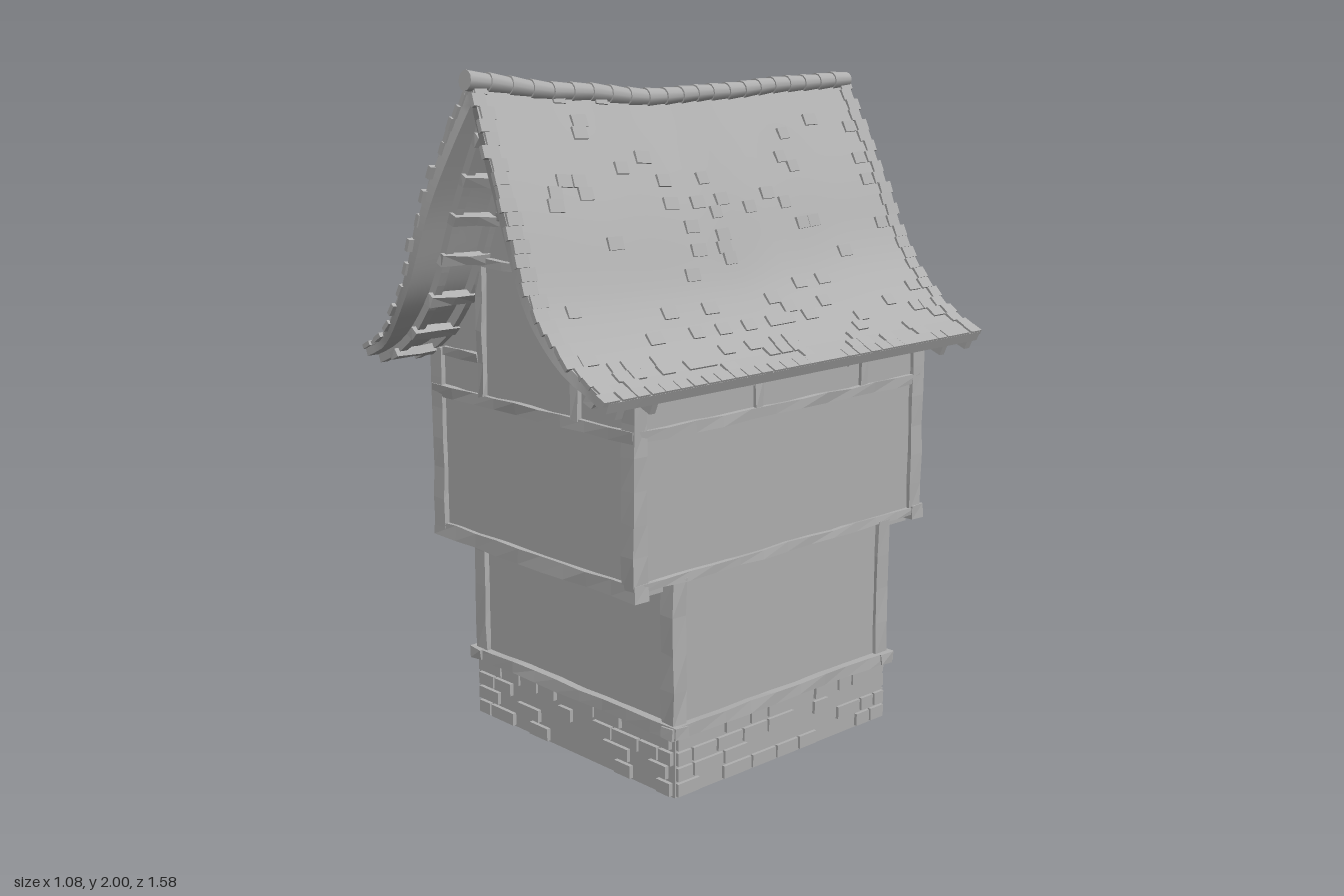
import * as THREE from 'three';
import { mergeGeometries, toCreasedNormals } from 'three/addons/utils/BufferGeometryUtils.js';

const V3 = (x, y, z) => new THREE.Vector3(x, y, z);
const clamp = THREE.MathUtils.clamp;

// half profile of the bell-shaped roof, ridge to eave
const profile = new THREE.SplineCurve([[0, 1.96], [.09, 1.8], [.18, 1.63], [.27, 1.43], [.33, 1.34], [.4, 1.265], [.47, 1.22], [.54, 1.19]]
  .map(p => new THREE.Vector2(...p)));
// sag and sideways drift of the ridge along z, as (z, drift, sag)
const bend = [[-.8, -.03, -.03], [-.5, -.03, -.037], [-.2, -.015, -.05], [.1, .01, -.055], [.4, .01, -.03], [.8, 0, .012]];

function bendAt(z) {
  let i = 0;
  while (i < bend.length - 2 && z > bend[i + 1][0]) i++;
  const [a, b] = [bend[i], bend[i + 1]];
  const t = THREE.MathUtils.smoothstep(z, a[0], b[0]);
  return [a[1] + (b[1] - a[1]) * t, a[2] + (b[2] - a[2]) * t];
}

function warp(p) {
  const [drift, sag] = bendAt(p.z);
  const w = THREE.MathUtils.smoothstep(p.y, 1.2, 1.55);
  p.y += sag * clamp((p.y - 1.18) / .78, 0, 1);
  p.x += drift * w;
  return p;
}

// point a distance d under the roof profile
function under(s, d) {
  const p = profile.getPointAt(s), t = profile.getTangentAt(s);
  p.x += t.y * d;
  p.y -= t.x * d;
  return p.x < 0 ? new THREE.Vector2(0, 1.96 - 2.05 * d) : p;
}

// v runs from the back edge to the front edge
function roofPoint(side, s, v, d = 0) {
  const p = under(s, d);
  const front = .73 + .04 * Math.sin(Math.PI * Math.min(1, p.x / .45));
  return warp(V3(p.x * side, p.y, -.77 + (front + .77) * v));
}

function warpGeometry(g, rough = 0) {
  const a = g.attributes.position, p = V3();
  const noise = n => { const q = Math.sin(n) * 43758.5; return (q - Math.floor(q) - .5) * rough; };
  for (let i = 0; i < a.count; i++) {
    p.fromBufferAttribute(a, i);
    const k = Math.round(p.x * 500) * 12.9 + Math.round(p.y * 500) * 78.2 + Math.round(p.z * 500) * 37.7;
    warp(p);
    a.setXYZ(i, p.x + noise(k), p.y + noise(k + 1), p.z + noise(k + 2));
  }
  const out = g.index ? g.toNonIndexed() : g;
  out.computeVertexNormals();
  return out;
}

export function createModel() {
  const model = new THREE.Group();
  model.name = 'timberHouse';
  const grey = new THREE.MeshStandardMaterial({ color: 0xb0b0b0 });
  grey.name = 'plainGrey';
  let seed = 7;
  const rand = () => (seed = (seed * 16807) % 2147483647) / 2147483647;

  const add = (name, g) => {
    const m = new THREE.Mesh(g, grey);
    m.name = name;
    model.add(m);
    return m;
  };
  const box = (name, w, h, d, x, y, z) =>
    add(name, warpGeometry(new THREE.BoxGeometry(w, h, d).translate(x, y, z)));
  // hand-hewn beam, slightly uneven along its length
  const beam = (name, w, h, d, x, y, z, turn = 0) => {
    const n = l => Math.max(1, Math.round(l / .1));
    const g = new THREE.BoxGeometry(w, h, d, n(w), n(h), n(d)).rotateZ(turn).translate(x, y, z);
    return add(name, warpGeometry(g, .006));
  };
  // four walls around an open middle
  const ring = (name, hx, zb, zf, y0, y1, t) => {
    const h = y1 - y0, y = (y0 + y1) / 2, zc = (zb + zf) / 2;
    for (const s of [-1, 1]) box(name, t, h, zf - zb, s * (hx - t / 2), y, zc);
    box(name, 2 * hx - 2 * t, h, t, 0, y, zf - t / 2);
    box(name, 2 * hx - 2 * t, h, t, 0, y, zb + t / 2);
  };

  // stone base with raised stones
  ring('stoneBase', .442, -.467, .412, 0, .19, .06);
  const stones = [];
  for (let f = 0; f < 4; f++) {
    for (let r = 0; r < 4; r++) {
      let u = -.44;
      while (u < .4) {
        const w = Math.min(.06 + rand() * .06, .44 - u);
        const corner = u < -.42 || u + w > .42;
        if (corner || rand() < .5) {
          const g = new THREE.BoxGeometry(w - .008, .038, .02);
          g.translate(u + w / 2, .024 + r * .046, .442);
          stones.push(g.rotateY(f * Math.PI / 2).translate(0, 0, -.0275));
        }
        u += w;
      }
    }
  }
  add('raisedStones', mergeGeometries(stones));

  // sill beams
  for (const s of [-1, 1]) {
    beam('sillBeam', .05, .034, .93, s * .435, .198, -.0275);
    beam('sillBeam', .93, .036, .05, 0, .198, -.0275 + s * .433);
  }

  // lower storey
  ring('lowerWall', .435, -.46, .405, .19, .64, .04);
  for (const x of [-1, 1]) for (const z of [-.452, .397])
    beam('lowerPost', .05, .43, .05, x * .422, .42, z);
  beam('lowerMiddlePost', .03, .43, .04, -.43, .42, -.03);

  // upper storey
  box('upperWall', .87, .57, 1.155, 0, .91, -.0275);
  for (const s of [-1, 1]) {
    for (const z of [-.595, .54]) beam('upperPost', .05, .55, .05, s * .422, .91, z);
    beam('sideFloorBeam', .03, .025, 1.16, s * .433, .64, -.0275);
    beam('sideRail', .03, .03, 1.15, s * .433, 1.055, -.0275);
    beam('wallPlate', .03, .03, 1.15, s * .433, 1.165, -.0275);
    for (const z of [-.35, .09]) beam('sideStud', .025, .09, .03, s * .433, 1.11, z);
    for (const z of [-.25, .18]) beam('eaveBracket', .06, .03, .05, s * .46, 1.165, z);
  }
  beam('frontJettyBeam', .9, .045, .05, 0, .628, .54);
  beam('backJettyBeam', .9, .045, .05, 0, .635, -.605);
  for (let i = 0; i < 13; i++) {
    const x = -.39 + i * .065;
    box('jettyJoist', .03, .035, .15, x, .615, -.53);
    box('jettyJoist', .03, .035, .13, x, .615, .475);
  }

  // gables at both ends
  const samples = Array.from({ length: 25 }, (_, i) => i / 24);
  const gable = new THREE.Shape();
  const slope = samples.map(s => under(s, .015)).filter(p => p.x < .435);
  gable.moveTo(-.435, 1.1).lineTo(.435, 1.1);
  slope.slice().reverse().forEach(p => gable.lineTo(p.x, p.y));
  slope.slice(1).forEach(p => gable.lineTo(-p.x, p.y));
  for (const [dir, z] of [[1, .55], [-1, -.605]]) {
    const wall = new THREE.ExtrudeGeometry(gable, { depth: .04, bevelEnabled: false });
    add('gableWall', warpGeometry(wall.translate(0, 0, z - (dir > 0 ? .04 : 0))));
    beam('gableRail', .89, .034, .03, 0, 1.055, z);
    beam('collarBeam', .42, .026, .03, 0, 1.46, z);
    beam('upperCollar', .26, .024, .03, 0, 1.6, z);
    beam('kingPost', .02, .13, .024, 0, 1.53, z);
    for (const s of [-1, 1]) {
      beam('gablePost', .028, .39, .03, s * .208, 1.26, z);
      beam('gableSideRail', .17, .028, .03, s * .305, 1.175, z);
      const arc = new THREE.QuadraticBezierCurve3(V3(s * .01, 1.475, z), V3(s * .07, 1.52, z), V3(s * .09, 1.595, z));
      add('curvedBrace', warpGeometry(new THREE.TubeGeometry(arc, 8, .012, 6)));
      // bargeboard and rafter follow the roof curve
      for (const [name, top, bottom, z0, t] of [['bargeboard', .025, .055, z + dir * .13, .025], ['wallRafter', .025, .06, z + dir * .012, .02]]) {
        const a = samples.map(q => under(q, top)), b = samples.map(q => under(q, bottom)).reverse();
        const shape = new THREE.Shape([...a, ...b].map(p => new THREE.Vector2(p.x * s, p.y)));
        const g = new THREE.ExtrudeGeometry(shape, { depth: t, bevelEnabled: false });
        add(name, warpGeometry(g.translate(0, 0, z0 - t / 2)));
      }
      // purlin ends under the overhang
      for (const q of [.15, .28, .41, .54, .67, .8, .91]) {
        const p = under(q, .055), t = profile.getTangentAt(q);
        beam('purlinEnd', .032, .026, .16, s * p.x, p.y, z + dir * .075, s * Math.atan2(t.y, t.x));
      }
    }
  }

  // roof shell, lofted along z
  const n = 48, rows = 32, pos = [], idx = [], loop = 2 * (n + 1);
  for (let j = 0; j <= rows; j++) {
    for (let k = 0; k < loop; k++) {
      const i = k <= n ? k : loop - 1 - k, c = i / n * 2 - 1;
      pos.push(...roofPoint(c < 0 ? -1 : 1, Math.abs(c), j / rows, k <= n ? 0 : .03).toArray());
    }
  }
  for (let j = 0; j < rows; j++) for (let k = 0; k < loop; k++) {
    const k2 = (k + 1) % loop, a = j * loop + k, b = j * loop + k2, c = b + loop, d = a + loop;
    idx.push(a, c, b, a, d, c);
  }
  for (let i = 0; i < n; i++) {
    const o = i, o2 = i + 1, q = loop - 1 - i, q2 = q - 1, e = rows * loop;
    idx.push(e + o, e + q, e + q2, e + o, e + q2, e + o2, o, q2, q, o, o2, q2);
  }
  const shell = new THREE.BufferGeometry();
  shell.setAttribute('position', new THREE.Float32BufferAttribute(pos, 3));
  shell.setIndex(idx);
  add('roofShell', toCreasedNormals(shell, .6));

  // loose shingles: all along the edges, scattered elsewhere
  const tiles = [], courses = 26, columns = 30;
  for (const side of [-1, 1]) for (let r = 0; r < courses; r++) for (let c = 0; c < columns; c++) {
    const s = (r + .5) / courses, v = (c + (r % 2 ? .6 : .4)) / columns;
    const edge = c === 0 || c === columns - 1 || r === courses - 1;
    const cluster = Math.sin(c * .8 + side) > .1 && s > .25 && s < .55;
    if (!edge && rand() > (s > .68 ? .22 : cluster ? .28 : .03)) continue;
    const p = roofPoint(side, s, v);
    const along = roofPoint(side, s, v + .01).sub(p).normalize();
    const down = roofPoint(side, s + .01, v).sub(p).normalize();
    const normal = along.clone().cross(down).multiplyScalar(side).normalize();
    const third = along.clone().cross(normal);
    if (c === 0) p.z -= .005 + rand() * .008;
    if (c === columns - 1) p.z += .002 + rand() * .01;
    const g = new THREE.BoxGeometry(.04 + rand() * .014, .014, .036);
    g.rotateX(-side * .08);
    tiles.push(g.applyMatrix4(new THREE.Matrix4().makeBasis(along, normal, third).setPosition(p)));
  }
  add('shingles', mergeGeometries(tiles));

  // overlapping ridge tiles
  const caps = [], count = 22;
  const ridge = i => {
    const z = -.775 + 1.52 * i / count, [x, sag] = bendAt(z);
    return V3(x, 1.96 + sag, z);
  };
  for (let i = 0; i < count; i++) {
    const a = ridge(i), b = ridge(i + 1), dir = b.clone().sub(a);
    const g = new THREE.CylinderGeometry(.028, .023, dir.length() + .008, 12);
    g.applyQuaternion(new THREE.Quaternion().setFromUnitVectors(V3(0, 1, 0), dir.normalize()));
    caps.push(g.translate(...a.add(b).multiplyScalar(.5).toArray()));
  }
  add('ridgeTiles', mergeGeometries(caps));
  return model;
}
